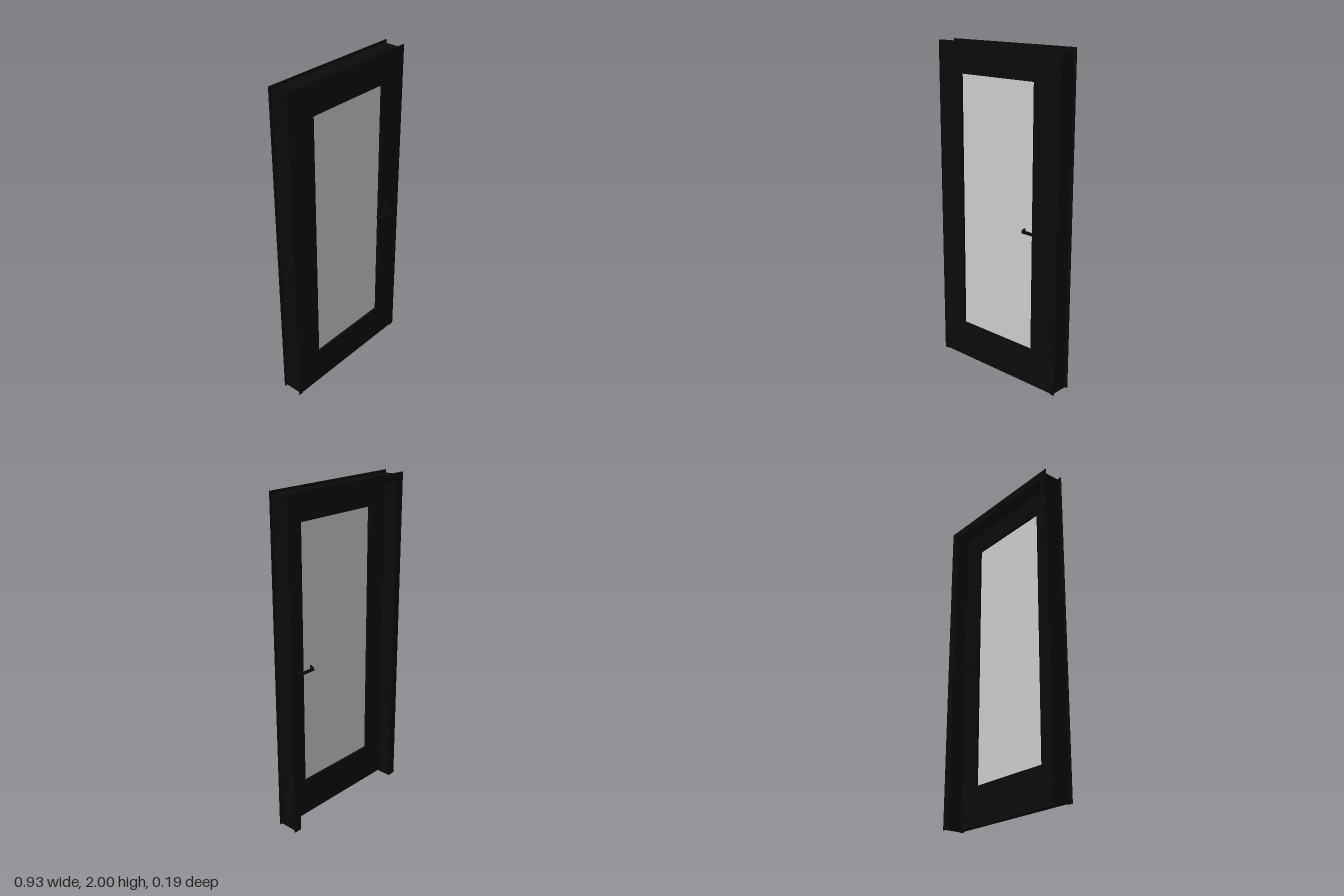
import * as THREE from 'three';

const W = 0.465, H = 2;          // half width and height of the frame
const HANDLE_X = 0.349, HANDLE_Y = 0.98;

const black = new THREE.MeshStandardMaterial({ color: 0x0b0b0b });
const grey = new THREE.MeshStandardMaterial({ color: 0xcccccc });

function add(parent, name, geometry, material, x = 0, y = 0, z = 0) {
  const mesh = new THREE.Mesh(geometry, material);
  mesh.name = name;
  mesh.position.set(x, y, z);
  parent.add(mesh);
  return mesh;
}

// Mitred frame: one section (inset, z) swept up a jamb, across the head and down
function frameGeometry() {
  const section = [
    [0, -0.095], [0.05, -0.095], [0.05, -0.005], [0.03, -0.005], [0.03, 0.035],
    [0, 0.035], [0, 0.03], [0.015, 0.03], [0.015, -0.088], [0, -0.088],
  ];
  const corners = [[1, 0], [1, 1], [-1, 1], [-1, 0]];
  const point = (i, k) => {
    const [u, z] = section[k % section.length];
    const [side, top] = corners[i];
    return [side * (W - u), top * (H - u), z];
  };
  const pos = [];
  const tri = (...points) => points.forEach((p) => pos.push(...p));
  for (let i = 0; i < 3; i++) {
    for (let k = 0; k < section.length; k++) {
      const a = point(i, k), b = point(i, k + 1), c = point(i + 1, k + 1), d = point(i + 1, k);
      tri(a, b, c);
      tri(a, c, d);
    }
  }
  // Feet of the two jambs
  const contour = section.map(([u, z]) => new THREE.Vector2(u, z));
  for (const [a, b, c] of THREE.ShapeUtils.triangulateShape(contour, [])) {
    tri(point(0, a), point(0, c), point(0, b));
    tri(point(3, a), point(3, b), point(3, c));
  }
  const geometry = new THREE.BufferGeometry();
  geometry.setAttribute('position', new THREE.Float32BufferAttribute(pos, 3));
  geometry.computeVertexNormals();
  return geometry;
}

function rectangle(PathType, x, y0, y1) {
  return new PathType([[-x, y0], [x, y0], [x, y1], [-x, y1]].map((p) => new THREE.Vector2(...p)));
}

// Lever handle standing on z = 0 and pointing towards +z
function createHandle(name) {
  const handle = new THREE.Group();
  handle.name = name;
  const rose = new THREE.CylinderGeometry(0.035, 0.035, 0.012, 32).rotateX(Math.PI / 2);
  add(handle, 'handleRose', rose, black, 0, 0, 0.006);
  const neck = new THREE.CylinderGeometry(0.011, 0.011, 0.058, 24).rotateX(Math.PI / 2);
  add(handle, 'handleNeck', neck, black, 0, 0, 0.031);

  // Bent grip, drawn from above in (x, -z) and extruded upwards
  const outline = [
    [0.011, 0.05], [0.011, 0.06], [-0.094, 0.06], [-0.113, 0.019], [-0.104, 0.015], [-0.087, 0.05],
  ];
  const shape = new THREE.Shape(outline.map(([x, z]) => new THREE.Vector2(x, -z)));
  const grip = new THREE.ExtrudeGeometry(shape, { depth: 0.016, bevelEnabled: false });
  grip.translate(0, 0, -0.008).rotateX(-Math.PI / 2);
  add(handle, 'handleGrip', grip, black);
  return handle;
}

export function createModel() {
  const model = new THREE.Group();
  model.name = 'glazedDoor';

  add(model, 'doorFrame', frameGeometry(), black);

  // Door leaf with a tall glazed opening
  const leaf = rectangle(THREE.Shape, 0.433, 0.004, 1.968);
  leaf.holes.push(rectangle(THREE.Path, 0.28, 0.235, 1.815));
  const leafGeometry = new THREE.ExtrudeGeometry(leaf, { depth: 0.038, bevelEnabled: false });
  add(model, 'doorLeaf', leafGeometry, black, 0, 0, -0.004);

  add(model, 'glassPane', new THREE.BoxGeometry(0.57, 1.59, 0.012), grey, 0, 1.025, 0.015);

  // Lever handles on both faces, both pointing towards the glass
  const front = createHandle('frontHandle');
  front.position.set(HANDLE_X, HANDLE_Y, 0.034);
  const back = createHandle('backHandle');
  back.position.set(HANDLE_X, HANDLE_Y, -0.004);
  back.scale.z = -1;
  model.add(front, back);

  return model;
}
